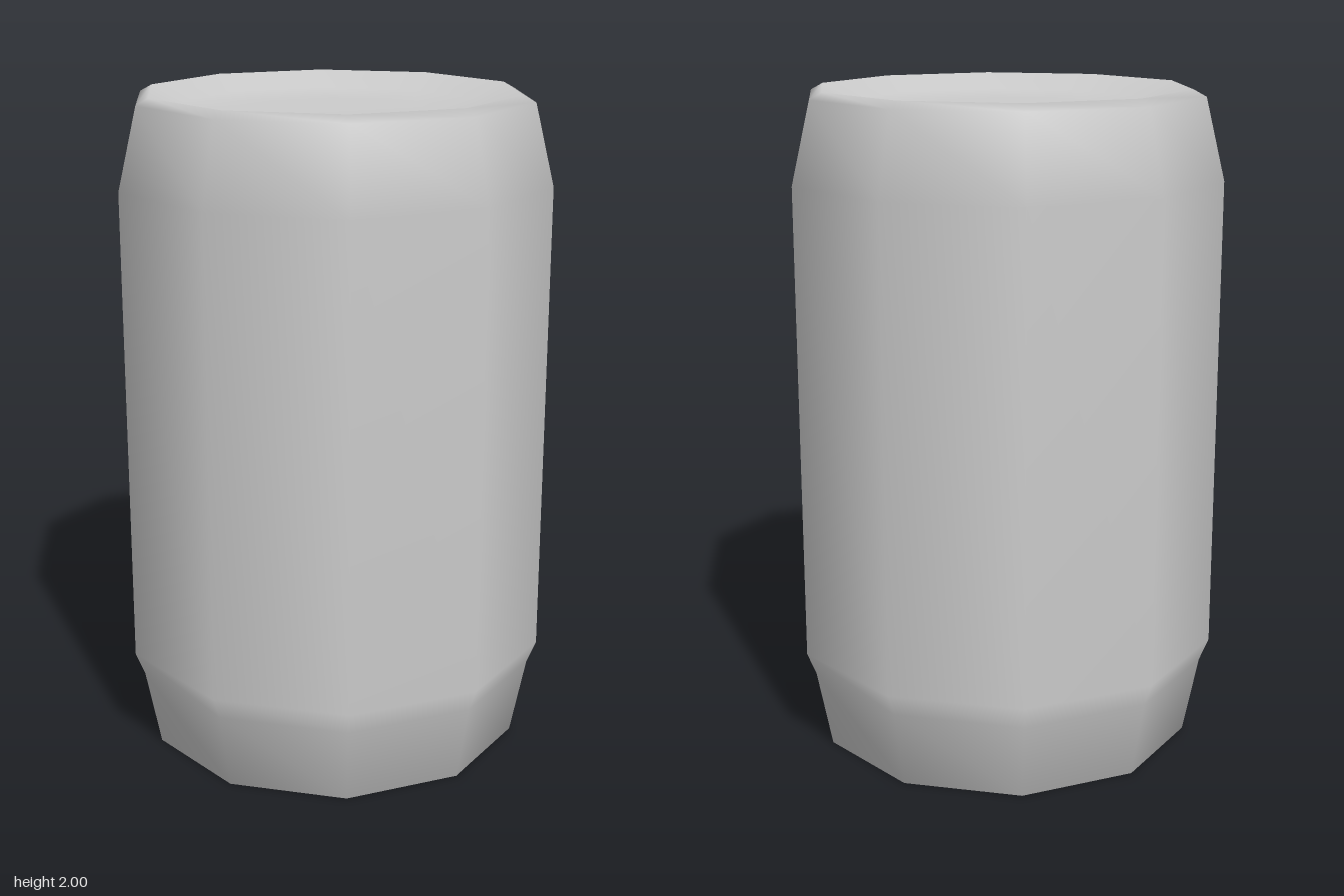
import * as THREE from 'three';

const SIDES = 10;

// Revolve [radius, height] pairs into a ten-sided shell with corners on the x axis
function revolve(name, profile) {
  const points = profile.map(([r, y]) => new THREE.Vector2(r, y));
  const geometry = new THREE.LatheGeometry(points, SIDES, Math.PI / 2);
  const material = new THREE.MeshStandardMaterial({ color: 0xcccccc, side: THREE.DoubleSide });
  const mesh = new THREE.Mesh(geometry, material);
  mesh.name = name;
  return mesh;
}

export function createModel() {
  const can = new THREE.Group();
  can.name = 'can';

  can.add(revolve('canBody', [
    // recessed base
    [0, 0.05], [0.45, 0.04], [0.52, 0],
    // tapered foot
    [0.58, 0], [0.627, 0.24], [0.655, 0.31],
    // straight wall and shoulder
    [0.655, 1.74], [0.597, 1.98],
    // rim
    [0.56, 2],
    // shallow dished lid
    [0.46, 1.955], [0.28, 1.945], [0, 1.945],
  ]));

  return can;
}
